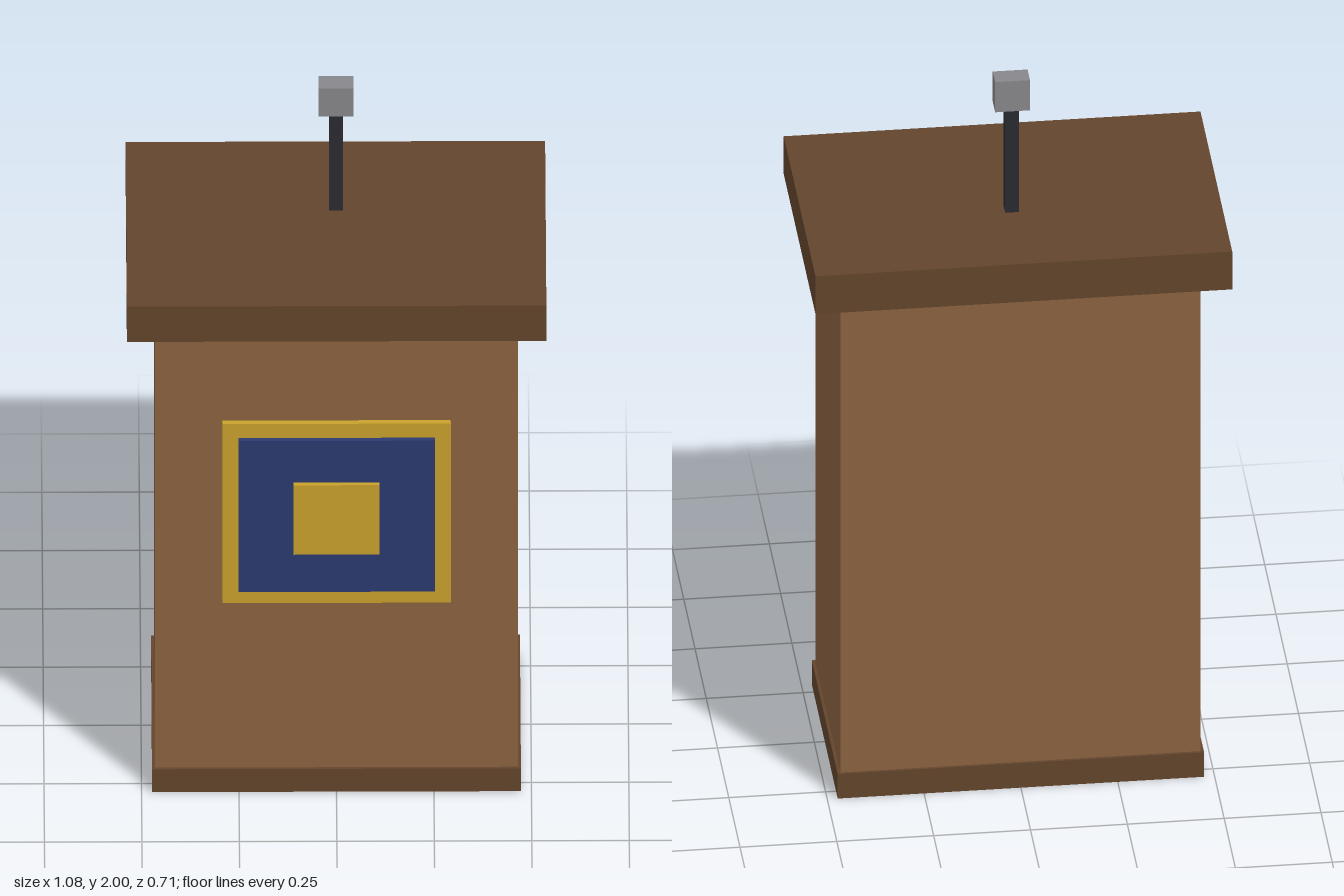
import * as THREE from 'three';

const material = (name, color) => {
  const m = new THREE.MeshStandardMaterial({ color });
  m.name = name;
  return m;
};

export function createModel() {
  const wood = material('wood', 0x8b6340);
  const darkWood = material('dark wood', 0x63452c);
  const gold = material('gold', 0xc9a22c);
  const blue = material('blue', 0x2b3a70);
  const black = material('black', 0x2a2a32);
  const grey = material('grey', 0x88888c);

  const group = new THREE.Group();
  group.name = 'lectern';

  // Box given by half width and its y and z ranges
  const box = (name, mat, halfX, y0, y1, z0, z1) => {
    const mesh = new THREE.Mesh(new THREE.BoxGeometry(halfX * 2, y1 - y0, z1 - z0), mat);
    mesh.position.set(0, (y0 + y1) / 2, (z0 + z1) / 2);
    mesh.name = name;
    group.add(mesh);
  };

  // Cabinet
  box('base', darkWood, 0.473, 0, 0.073, -0.287, 0.287);
  box('body', wood, 0.465, 0.073, 1.49, -0.28, 0.28);
  box('top', darkWood, 0.538, 1.49, 1.603, -0.353, 0.353);

  // Stepped front panel
  box('panelFrame', gold, 0.293, 0.61, 1.183, 0.28, 0.295);
  box('panelField', blue, 0.252, 0.655, 1.138, 0.295, 0.308);
  box('panelCentre', gold, 0.11, 0.783, 1.005, 0.308, 0.32);

  // Microphone
  box('microphoneStem', black, 0.018, 1.603, 1.91, -0.093, -0.057);
  box('microphoneHead', grey, 0.045, 1.91, 2, -0.102, -0.048);

  return group;
}
